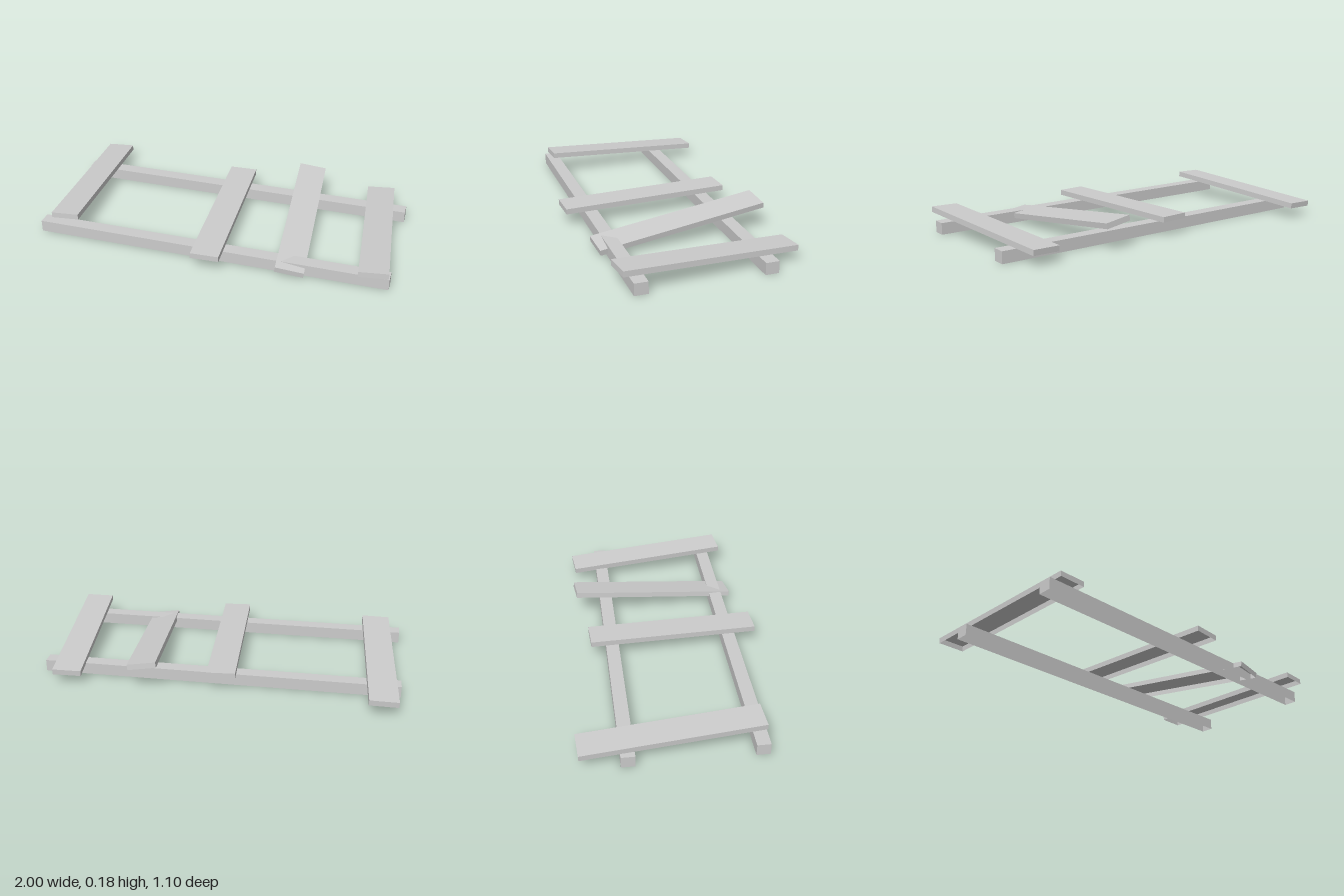
import * as THREE from 'three';

const material = new THREE.MeshStandardMaterial({
  color: 0xcccccc, flatShading: true, side: THREE.DoubleSide,
});

// Box without its underside (the fourth face, indices 18 to 23)
function openBox(w, h, d) {
  const geometry = new THREE.BoxGeometry(w, h, d);
  const index = Array.from(geometry.index.array);
  index.splice(18, 6);
  geometry.setIndex(index);
  geometry.clearGroups();
  return geometry;
}

export function createModel() {
  const group = new THREE.Group();

  // Two long rails lying on the ground
  const railGeometry = openBox(2, 0.066, 0.074);
  [['backRail', -0.298], ['frontRail', 0.388]].forEach(([name, z]) => {
    const rail = new THREE.Mesh(railGeometry, material);
    rail.name = name;
    rail.position.set(0, 0.033, z);
    group.add(rail);
  });

  // Loose planks across the rails: x, y, z, then pitch, yaw, roll
  const plankGeometry = openBox(0.158, 0.031, 0.966);
  const planks = [
    [-0.878, 0.097, -0.065, -0.05, 0.057, 0.04],
    [-0.002, 0.095, 0.058, 0.01, 0.05, -0.01],
    [0.437, 0.095, -0.006, 0.12, 0.078, -0.125],
    [0.875, 0.096, 0.003, -0.047, 0.093, 0.04],
  ];
  planks.forEach(([x, y, z, pitch, yaw, roll], i) => {
    const plank = new THREE.Mesh(plankGeometry, material);
    plank.name = `plank${i + 1}`;
    plank.position.set(x, y, z);
    plank.rotation.set(pitch, yaw, roll, 'YXZ');
    group.add(plank);
  });

  return group;
}
